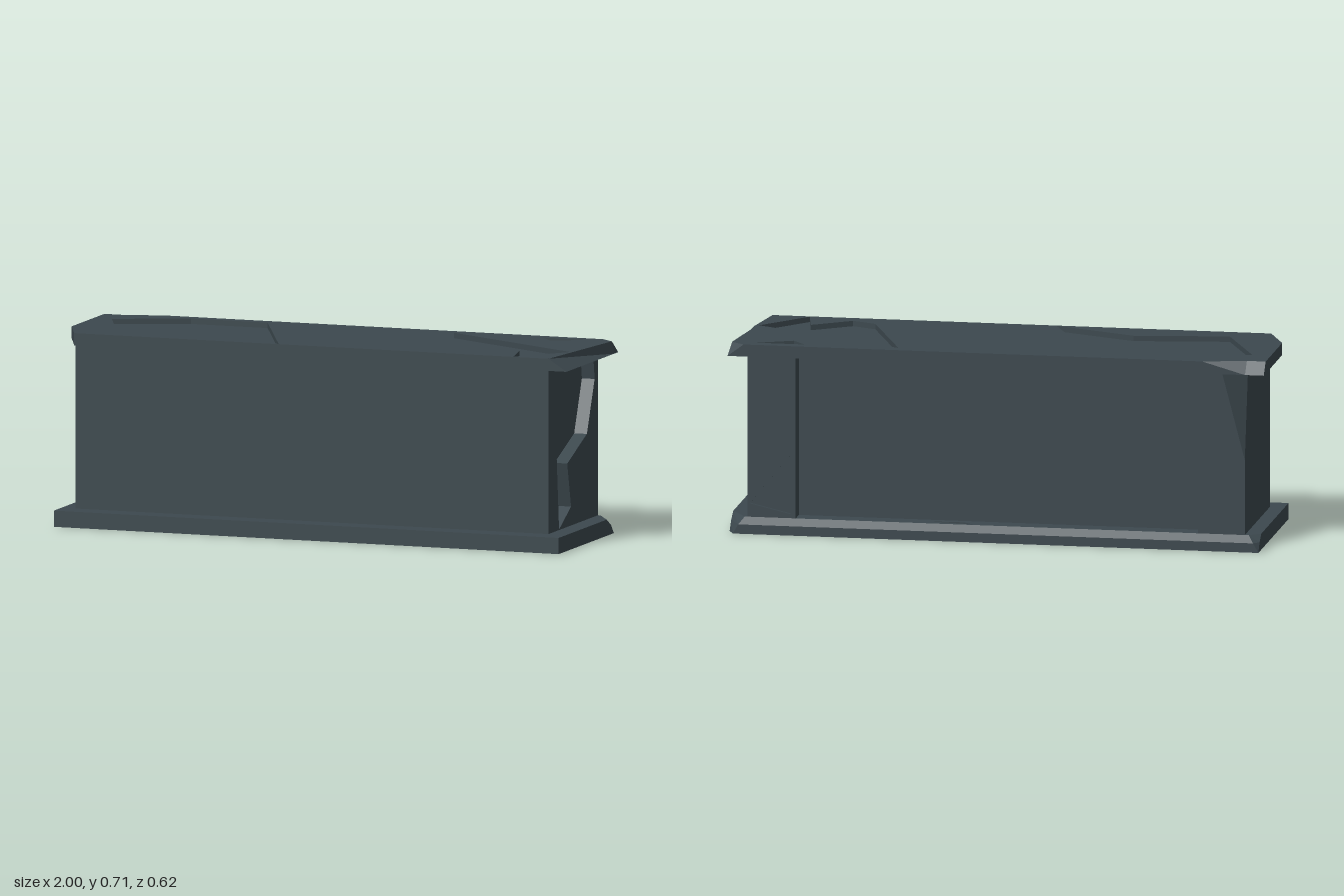
import * as THREE from 'three';
import { ConvexGeometry } from 'three/addons/geometries/ConvexGeometry.js';

const stone = new THREE.MeshStandardMaterial({ color: 0x3c484e });
stone.name = 'darkSlate';

const vecs = (pts) => pts.map(([x, y]) => new THREE.Vector2(x, y));

// Block with its face at z = 0 and back at z = -height, with shallow broken-out
// hollows in the face. The back outline may differ from the face outline.
function carvedGeometry(face, back, height, hollows, depth) {
  const pos = [];
  const tri = (...corners) => corners.forEach(([p, z]) => pos.push(p.x, p.y, z));
  const walls = (a, b, z) => a.forEach((p, i) => {
    const j = (i + 1) % a.length;
    tri([p, 0], [b[i], z], [b[j], z]);
    tri([p, 0], [b[j], z], [a[j], 0]);
  });
  const cap = (outline, holes, z, flip) => {
    const all = [outline, ...holes].flat();
    for (const [a, b, c] of THREE.ShapeUtils.triangulateShape(outline, holes)) {
      tri([all[a], z], [all[flip ? c : b], z], [all[flip ? b : c], z]);
    }
  };
  const front = vecs(face), rear = vecs(back);
  if (THREE.ShapeUtils.isClockWise(front)) { front.reverse(); rear.reverse(); }
  const holes = hollows.map((h) => {
    const v = vecs(h);
    return THREE.ShapeUtils.isClockWise(v) ? v : v.reverse();
  });
  cap(front, holes, 0, false);
  cap(rear, [], -height, true);
  walls(front, rear, -height);
  holes.forEach((h) => {
    walls(h, h, -depth);
    cap([...h].reverse(), [], -depth, false);
  });
  const geo = new THREE.BufferGeometry();
  geo.setAttribute('position', new THREE.Float32BufferAttribute(pos, 3));
  geo.computeVertexNormals();
  return geo;
}

// Turns [x, z] plan points into the local points of an upward-facing block
const plan = (pts) => pts.map(([x, z]) => [x, -z]);
// Turns [z, y] points into the local points of a block facing +x or -z
const mirrored = (pts) => pts.map(([a, y]) => [-a, y]);

export function createModel() {
  const group = new THREE.Group();
  const add = (name, geo) => {
    const mesh = new THREE.Mesh(geo, stone);
    mesh.name = name;
    group.add(mesh);
    return mesh;
  };
  const hull = (pts) => new ConvexGeometry(pts.map((p) => new THREE.Vector3(...p)));
  const box = (name, x0, x1, y0, y1, z0, z1) => {
    add(name, new THREE.BoxGeometry(x1 - x0, y1 - y0, z1 - z0))
      .position.set((x0 + x1) / 2, (y0 + y1) / 2, (z0 + z1) / 2);
  };

  // Plinth: lower slab and chamfered upper layer with chipped back corners
  const mid = [[-0.98, 0.31], [1, 0.31], [1, -0.234], [0.96, -0.31], [-0.96, -0.31], [-0.98, -0.285]];
  const top = [[-0.98, 0.31], [1, 0.31], [1, -0.19], [0.94, -0.285], [-0.94, -0.285], [-0.98, -0.25]];
  const foot = [[-0.98, 0.31], [1, 0.31], [1, -0.265], [0.98, -0.31], [-0.98, -0.31]];
  add('plinth', hull([
    ...foot.map(([x, z]) => [x, 0, z]),
    ...mid.map(([x, z]) => [x, 0.035, z]),
  ]));
  const plinthTop = add('plinthTop', carvedGeometry(plan(top), plan(mid), 0.025,
    [plan([[0.26, -0.25], [0.09, -0.275], [0.13, -0.245]])], 0.012));
  plinthTop.rotation.x = -Math.PI / 2;
  plinthTop.position.y = 0.06;

  // Middle wall, set back behind the end piers
  box('wall', -0.75, 0.75, 0.06, 0.665, -0.22, 0.23);

  // Left-hand pier with its upper back corner broken off
  const pier = [];
  for (const y of [0.06, 0.665]) {
    pier.push([-0.75, y, -0.285], [-0.75, y, 0.23], [-0.925, y, 0.23]);
  }
  pier.push([-0.925, 0.06, -0.285], [-0.925, 0.34, -0.285], [-0.84, 0.665, -0.285], [-0.925, 0.665, -0.22]);
  add('brokenPier', hull(pier));

  // Opposite pier with a large hollow broken out of its end
  const end = mirrored([[-0.265, 0.06], [0.23, 0.06], [0.23, 0.665], [-0.265, 0.665]]);
  const endHollow = mirrored([[0.175, 0.663], [0.12, 0.062], [-0.005, 0.13], [0.035, 0.295],
    [-0.17, 0.377], [-0.25, 0.57], [-0.235, 0.663]]);
  const endPier = add('hollowedPier', carvedGeometry(end, end, 0.18, [endHollow], 0.05));
  endPier.rotation.y = Math.PI / 2;
  endPier.position.x = 0.93;

  // Back layer of that pier with a triangular chip
  const pierBack = mirrored([[0.75, 0.06], [0.93, 0.06], [0.93, 0.665], [0.75, 0.665]]);
  const backLayer = add('pierBack', carvedGeometry(pierBack, pierBack, 0.02,
    [mirrored([[0.922, 0.11], [0.758, 0.31], [0.77, 0.075]])], 0.015));
  backLayer.rotation.y = Math.PI;
  backLayer.position.z = -0.285;

  // Capstone: bevelled, chipped corners and three shallow hollows on top
  const capTop = [[-0.93, 0.23], [0.93, 0.23], [0.99, -0.27], [0.94, -0.31],
    [-0.77, -0.31], [-0.93, -0.27], [-1, -0.27], [-1, 0.07]];
  const capBottom = [[-0.93, 0.23], [1, 0.23], [1, -0.27], [1, -0.31],
    [-0.77, -0.31], [-0.93, -0.31], [-1, -0.31], [-1, 0.07]];
  const hollows = [
    [[-0.93, -0.16], [-0.66, -0.27], [-0.36, -0.27], [-0.13, 0.225], [-0.44, 0.1], [-0.79, 0.15]],
    [[0.37, -0.27], [0.53, 0.14], [0.62, 0.18], [0.76, 0.08], [0.79, 0.225], [0.945, 0.04]],
    [[0.72, -0.27], [0.9, -0.27], [0.77, -0.21]],
  ];
  const capstone = add('capstone',
    carvedGeometry(plan(capTop), plan(capBottom), 0.045, hollows.map(plan), 0.02));
  capstone.rotation.x = -Math.PI / 2;
  capstone.position.y = 0.71;

  return group;
}
